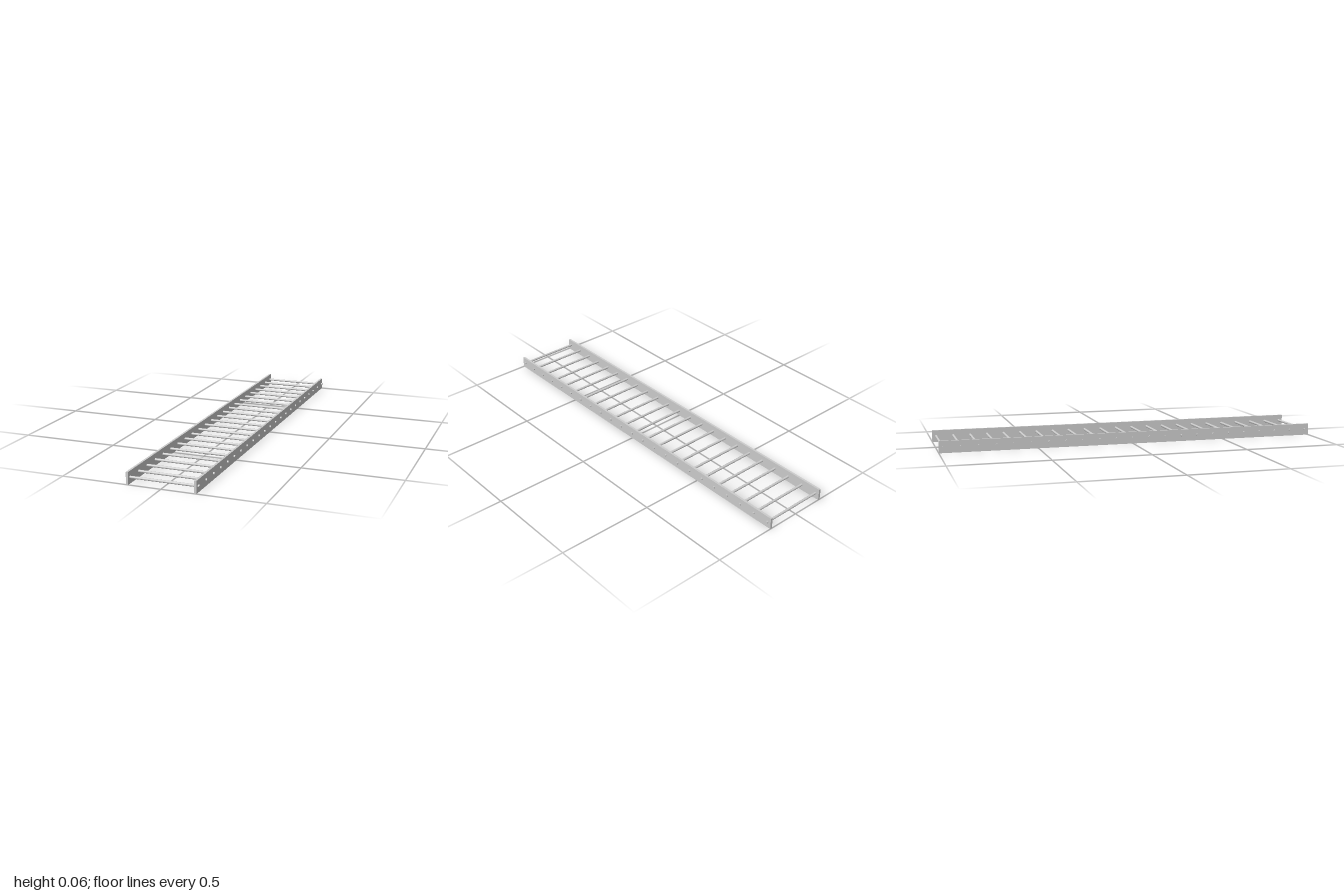
import * as THREE from 'three';

const LENGTH = 2;
const RAIL_HEIGHT = 0.061;
const RAIL_THICKNESS = 0.011;
const RAIL_X = 0.1675;
const RUNG_COUNT = 23;
const RUNG_RADIUS = 0.0063;
const RUNG_LENGTH = 0.36;
const RUNG_END_Z = 0.979;

export function createModel() {
  const ladder = new THREE.Group();
  ladder.name = 'ladder';
  const material = new THREE.MeshStandardMaterial({ color: 0xcccccc });

  // Two flat side rails standing on edge
  const railGeometry = new THREE.BoxGeometry(RAIL_THICKNESS, RAIL_HEIGHT, LENGTH);
  for (const side of [1, -1]) {
    const rail = new THREE.Mesh(railGeometry, material);
    rail.name = side > 0 ? 'leftRail' : 'rightRail';
    rail.position.set(side * RAIL_X, RAIL_HEIGHT / 2, 0);
    ladder.add(rail);
  }

  // Round rungs whose ends poke out through the rails
  const rungGeometry = new THREE.CylinderGeometry(RUNG_RADIUS, RUNG_RADIUS, RUNG_LENGTH, 16);
  rungGeometry.rotateZ(Math.PI / 2);
  const rungs = new THREE.Group();
  rungs.name = 'rungs';
  for (let i = 0; i < RUNG_COUNT; i++) {
    const rung = new THREE.Mesh(rungGeometry, material);
    rung.name = `rung${i + 1}`;
    const z = THREE.MathUtils.lerp(-RUNG_END_Z, RUNG_END_Z, i / (RUNG_COUNT - 1));
    rung.position.set(0, 0.031, z);
    rungs.add(rung);
  }
  ladder.add(rungs);

  return ladder;
}
